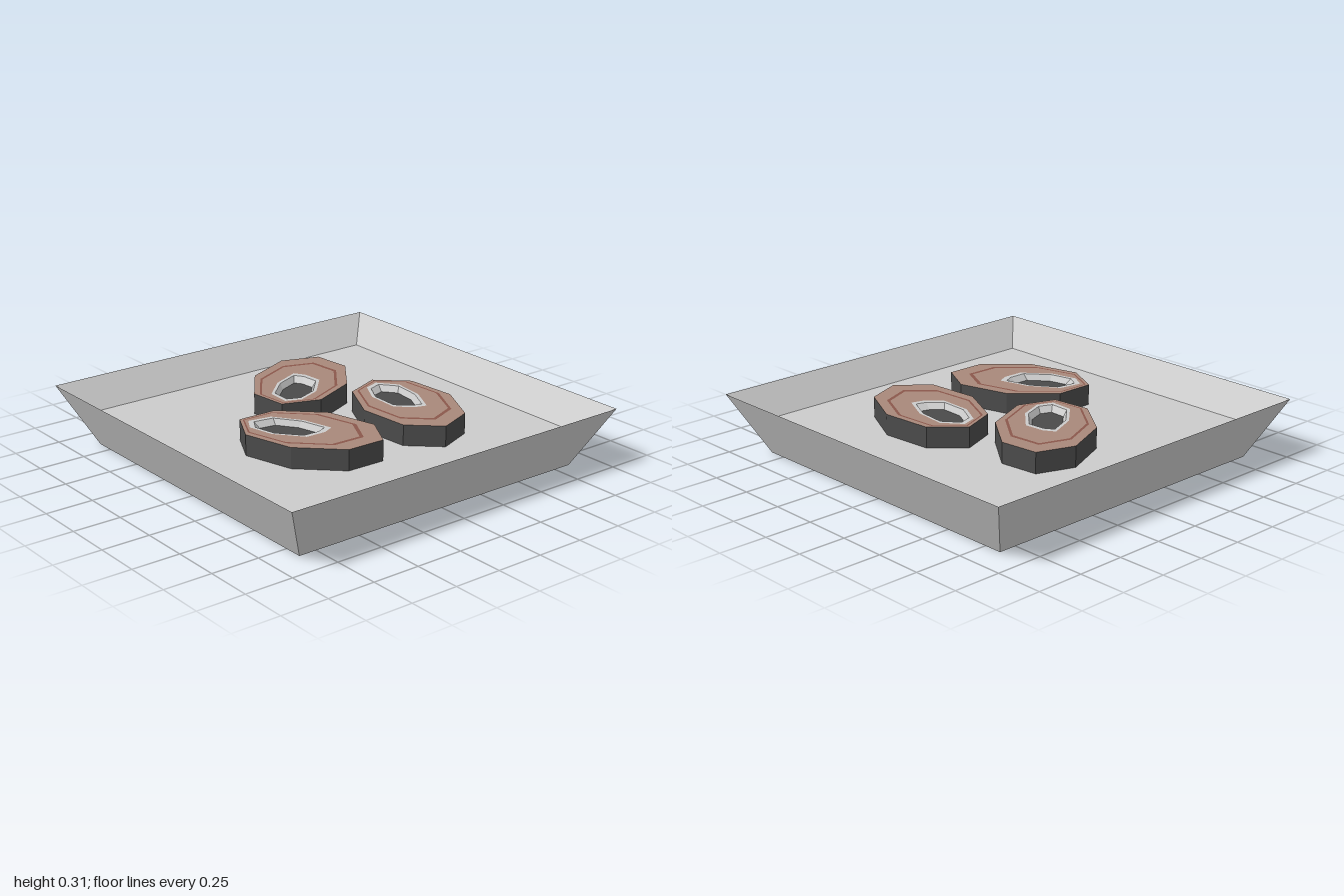
import * as THREE from 'three';

const material = (color) => new THREE.MeshStandardMaterial({ color, flatShading: true });

// Skin through closed loops of [x, y, z] points, from the underside outwards, up and back in.
function loft(name, loops, mat) {
  const pos = [];
  const n = loops[0].length;
  for (let k = 0; k < loops.length - 1; k++) {
    const a = loops[k], b = loops[k + 1];
    for (let i = 0; i < n; i++) {
      const j = (i + 1) % n;
      pos.push(...a[i], ...b[i], ...b[j], ...a[i], ...b[j], ...a[j]);
    }
  }
  const geo = new THREE.BufferGeometry();
  geo.setAttribute('position', new THREE.Float32BufferAttribute(pos, 3));
  geo.computeVertexNormals();
  const mesh = new THREE.Mesh(geo, mat);
  mesh.name = name;
  return mesh;
}

const square = (h, y) => [[h, y, -h], [h, y, h], [-h, y, h], [-h, y, -h]];

// Eight-sided ellipse, its centre shifted along x
const oval = (a, b, y, cx = 0) => Array.from({ length: 8 }, (_, i) => {
  const t = (i * Math.PI) / 4;
  return [cx + a * Math.cos(t), y, b * Math.sin(t)];
});

// Irregular bone outline, shrunk about its middle
const BONE = [[0.078, 0.005], [0.02, 0.095], [-0.15, 0.122], [-0.283, 0.08],
  [-0.325, 0.004], [-0.245, -0.09], [-0.075, -0.104], [0.085, -0.06]];
const bone = (s, y) => BONE.map(([x, z]) => [-0.125 + (x + 0.125) * s, y, 0.005 + (z - 0.005) * s]);

const FLOOR = 0.17;
const THICK = 0.11;

function createSteak(mats) {
  const steak = new THREE.Group();
  const rim = oval(0.373, 0.248, THICK);
  const ringOuter = oval(0.315, 0.206, THICK, -0.041);
  const ringInner = oval(0.3, 0.193, THICK, -0.0475);
  steak.add(
    loft('crust', [oval(0, 0, 0.002), oval(0.373, 0.248, 0.002), rim], mats.dark),
    loft('outerMeat', [rim, ringOuter], mats.meat),
    loft('meatRing', [ringOuter, ringInner], mats.ring),
    loft('innerMeat', [ringInner, bone(1, THICK)], mats.meat),
    // Flat bone edge sloping into a shallow hollow
    loft('bone', [bone(1, THICK), bone(0.85, THICK), bone(0.7, THICK - 0.03)], mats.grey),
    loft('marrow', [bone(0.7, THICK - 0.03), bone(0, THICK - 0.03)], mats.dark),
  );
  return steak;
}

export function createModel() {
  const model = new THREE.Group();
  model.name = 'trayOfSteaks';
  const mats = {
    grey: material(0xcccccc),
    dark: material(0x4a4a4a),
    meat: material(0xa8887a),
    ring: material(0x8a574b),
  };

  // Tray with flared sides and a raised floor
  model.add(loft('tray', [
    square(0, 0), square(0.845, 0), square(1, 0.31), square(0.875, FLOOR), square(0, FLOOR),
  ], mats.grey));

  // Three steaks: x, z, turn
  [[-0.366, -0.088, 2.235], [0.233, -0.307, -0.189], [0.227, 0.305, 0.534]].forEach(([x, z, turn], i) => {
    const steak = createSteak(mats);
    steak.name = `steak${i + 1}`;
    steak.position.set(x, FLOOR, z);
    steak.rotation.y = turn;
    model.add(steak);
  });
  return model;
}
